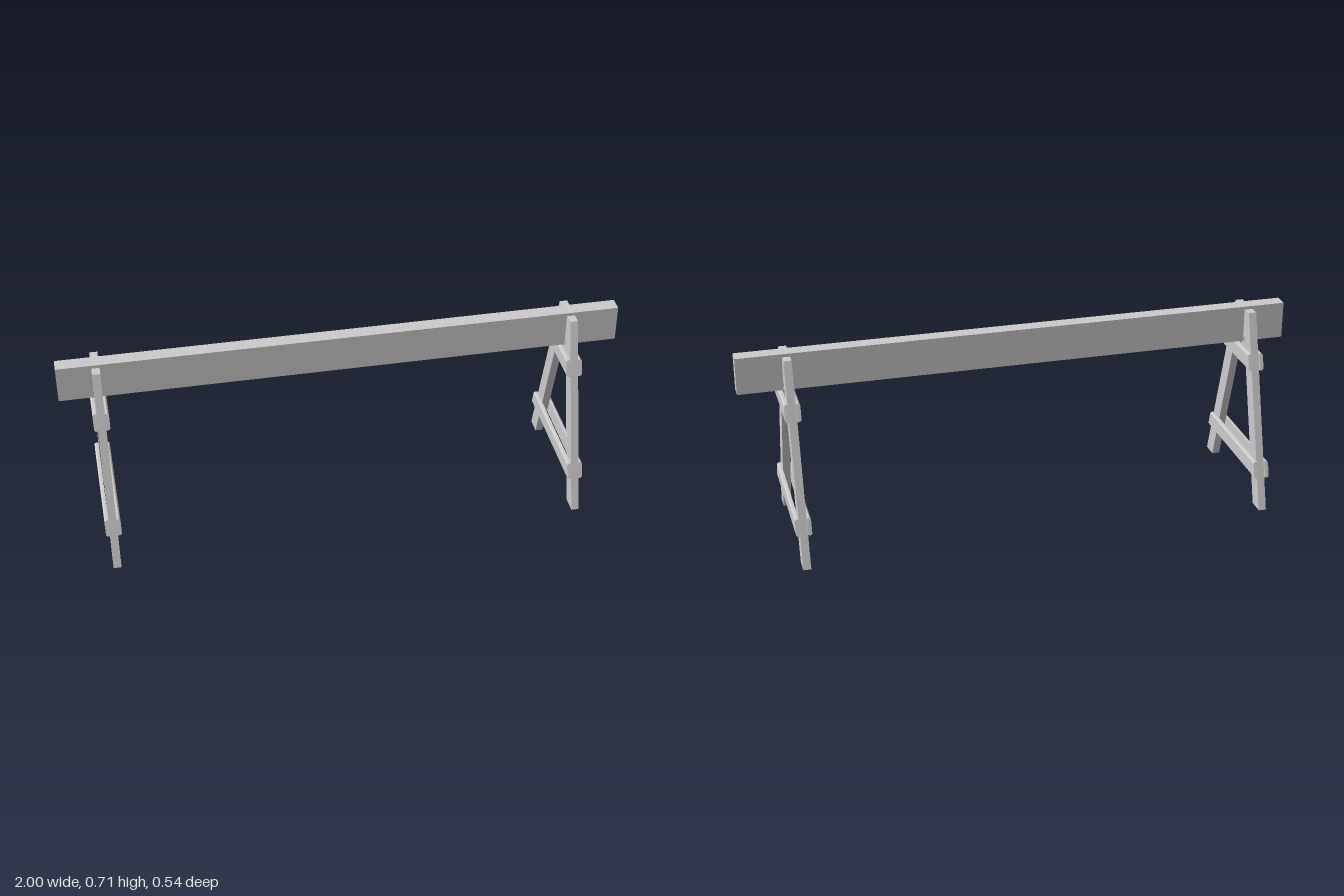
import * as THREE from 'three';

const material = new THREE.MeshStandardMaterial({ color: 0xcccccc, flatShading: true });

function addMesh(parent, name, geometry) {
  const mesh = new THREE.Mesh(geometry, material);
  mesh.name = name;
  parent.add(mesh);
  return mesh;
}

function shapeOf(points) {
  return new THREE.Shape(points.map(([a, b]) => new THREE.Vector2(a, b)));
}

// Board cut from a (z, y) outline, centred on x = 0
function sideBoard(points, thickness) {
  const geometry = new THREE.ExtrudeGeometry(shapeOf(points), { depth: thickness, bevelEnabled: false });
  return geometry.translate(0, 0, -thickness / 2).rotateY(-Math.PI / 2);
}

const LEG = 0.028;    // leg thickness
const PLANK = 0.014;  // rail plank thickness

// Rail plank with softened outer edges and ends cut at a slant
function railPlank(side, y0, y1, front, back) {
  const inner = LEG / 2, outer = inner + PLANK, c = 0.005;
  const geometry = new THREE.ExtrudeGeometry(
    shapeOf([[inner, y0], [outer - c, y0], [outer, y0 + c], [outer, y1 - c], [outer - c, y1], [inner, y1]]),
    { depth: 1, bevelEnabled: false });
  const pos = geometry.attributes.position;
  for (let i = 0; i < pos.count; i++) {
    const t = (pos.getY(i) - y0) / (y1 - y0);
    const [low, high] = pos.getZ(i) > 0.5 ? front : back;
    pos.setZ(i, THREE.MathUtils.lerp(low, high, t));
  }
  if (side < 0) geometry.rotateY(Math.PI).scale(1, 1, 1);
  if (side < 0) {
    // keep the same z reach as the opposite plank
    geometry.translate(0, 0, front[0] + back[0]);
  }
  geometry.computeVertexNormals();
  return geometry;
}

function trestle() {
  const group = new THREE.Group();
  for (const s of [1, -1]) {
    const end = s > 0 ? 'front' : 'back';
    // Splayed leg with an upright notch for the beam
    const outline = [[0.272, 0], [0.067, 0.703], [0.032, 0.703], [0.032, 0.615], [0.212, 0]];
    addMesh(group, end + 'Leg', sideBoard(outline.map(([z, y]) => [z * s, y]), LEG));
    // Thin packing plate between leg and beam
    const plate = new THREE.BoxGeometry(LEG, 0.122, 0.006);
    addMesh(group, end + 'Plate', plate).position.set(0, 0.639, 0.029 * s);
    // Pairs of planks clasping the legs
    const side = s > 0 ? 'left' : 'right';
    addMesh(group, side + 'UpperRail', railPlank(s, 0.502, 0.562, [0.123, 0.107], [-0.135, -0.115]));
    addMesh(group, side + 'LowerRail', railPlank(s, 0.119, 0.178, [0.236, 0.22], [-0.246, -0.227]));
  }
  return group;
}

export function createModel() {
  const model = new THREE.Group();
  model.name = 'trestleBarrier';

  // Long beam resting between the leg tops
  addMesh(model, 'beam', new THREE.BoxGeometry(2, 0.134, 0.052)).position.y = 0.645;

  for (const [name, x] of [['rightTrestle', -0.863], ['leftTrestle', 0.825]]) {
    const group = trestle();
    group.name = name;
    group.position.x = x;
    model.add(group);
  }
  return model;
}
